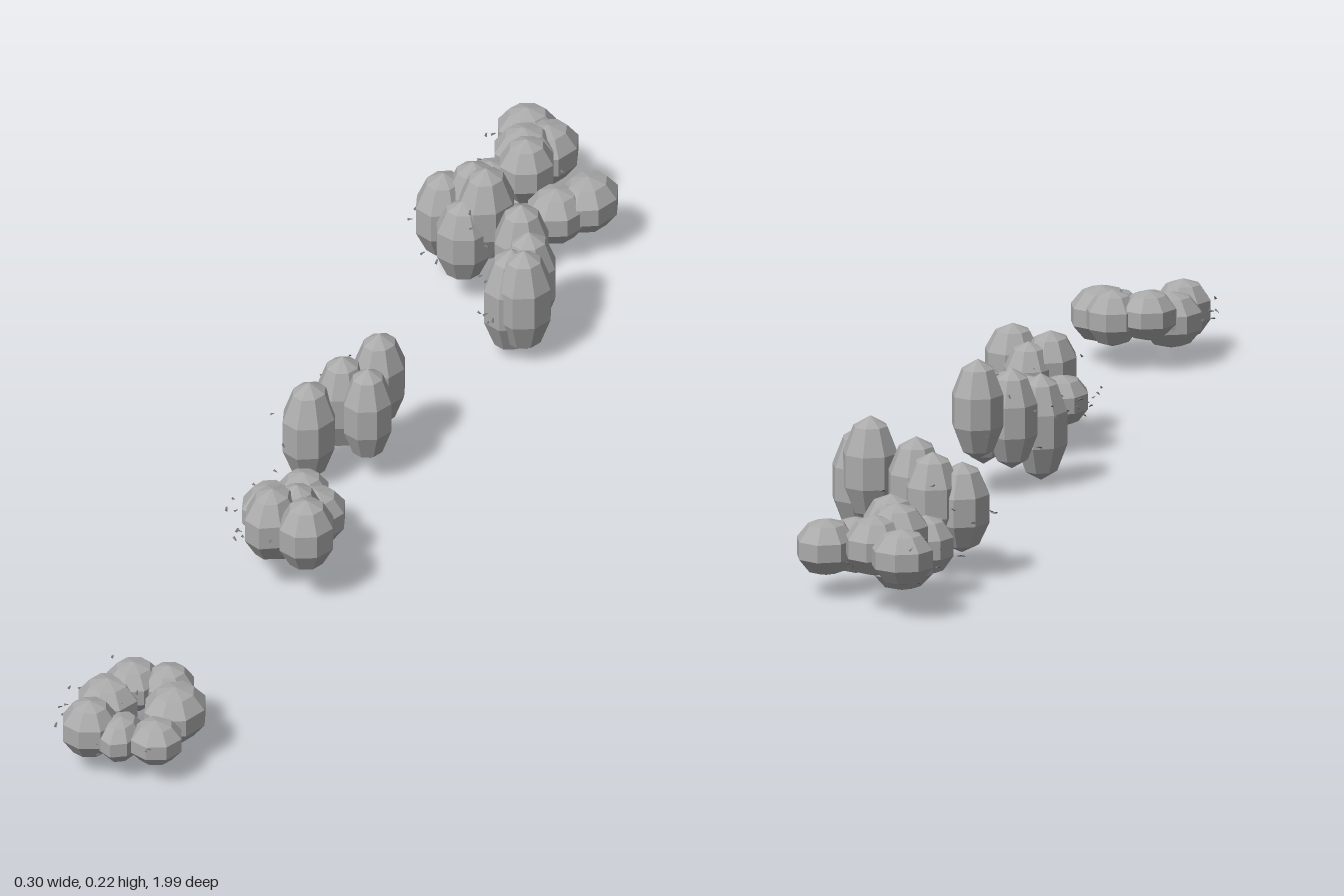
import * as THREE from 'three';

// Puffs of each cluster: [x, y, z, radiusX, radiusY, radiusZ]
const CLUSTERS = {
  flatFrontCluster: [
    [-0.035, 0.085, 0.825, 0.045, 0.04, 0.05], [0.02, 0.08, 0.815, 0.043, 0.045, 0.045],
    [0.05, 0.075, 0.865, 0.05, 0.045, 0.06], [-0.06, 0.07, 0.87, 0.05, 0.045, 0.055],
    [-0.06, 0.07, 0.948, 0.045, 0.048, 0.047], [-0.008, 0.062, 0.945, 0.033, 0.036, 0.05],
    [0.047, 0.063, 0.938, 0.043, 0.036, 0.045],
  ],
  secondCluster: [
    [0, 0.085, 0.193, 0.043, 0.042, 0.045], [-0.04, 0.08, 0.24, 0.042, 0.04, 0.055],
    [0.04, 0.08, 0.235, 0.045, 0.045, 0.055], [0, 0.11, 0.325, 0.043, 0.06, 0.058],
    [0.025, 0.1, 0.285, 0.04, 0.06, 0.045], [0.065, 0.114, 0.345, 0.045, 0.06, 0.05],
    [-0.01, 0.065, 0.28, 0.05, 0.04, 0.05],
  ],
  middleCluster: [
    [-0.062, 0.09, 0.01, 0.043, 0.085, 0.053], [0.012, 0.138, -0.1, 0.042, 0.08, 0.05],
    [0.02, 0.115, -0.03, 0.04, 0.08, 0.045], [-0.03, 0.115, -0.05, 0.042, 0.08, 0.048],
  ],
  tallCluster: [
    [0.076, 0.138, -0.54, 0.045, 0.084, 0.05], [0.085, 0.09, -0.475, 0.045, 0.09, 0.055],
    [0.11, 0.1, -0.465, 0.045, 0.088, 0.05], [0.1, 0.11, -0.51, 0.045, 0.085, 0.05],
  ],
  sideCluster: [
    [-0.097, 0.11, -0.65, 0.045, 0.072, 0.055], [-0.055, 0.125, -0.67, 0.045, 0.075, 0.05],
    [-0.02, 0.135, -0.635, 0.045, 0.08, 0.055], [-0.045, 0.1, -0.6, 0.045, 0.07, 0.043],
  ],
  backCluster: [
    [-0.075, 0.095, -0.95, 0.05, 0.045, 0.05], [-0.02, 0.1, -0.9, 0.048, 0.048, 0.06],
    [-0.045, 0.11, -0.86, 0.05, 0.05, 0.055], [-0.075, 0.08, -0.795, 0.045, 0.048, 0.048],
    [-0.025, 0.11, -0.82, 0.045, 0.055, 0.05], [0.078, 0.075, -0.82, 0.048, 0.045, 0.06],
    [0.042, 0.07, -0.775, 0.048, 0.045, 0.053], [-0.045, 0.055, -0.83, 0.05, 0.04, 0.05],
  ],
};

// Small seeded generator for the loose flecks
function seeded(seed) {
  return () => {
    seed = (seed * 16807) % 2147483647;
    return seed / 2147483647;
  };
}

export function createModel() {
  const model = new THREE.Group();
  const puffGrey = new THREE.MeshStandardMaterial({ color: 0xaaaaaa, flatShading: true });
  puffGrey.name = 'puffGrey';
  const fleckGrey = new THREE.MeshStandardMaterial({ color: 0x777777, flatShading: true });
  fleckGrey.name = 'fleckGrey';

  // Faceted ball with pointed poles and an upright middle band
  const puffGeometry = new THREE.SphereGeometry(1.03, 8, 5);
  puffGeometry.scale(1, 1 / 1.03, 1);
  const fleckGeometry = new THREE.TetrahedronGeometry(1);
  const random = seeded(4711);

  for (const [name, puffs] of Object.entries(CLUSTERS)) {
    const cluster = new THREE.Group();
    cluster.name = name;
    for (const [x, y, z, rx, ry, rz] of puffs) {
      const puff = new THREE.Mesh(puffGeometry, puffGrey);
      puff.name = 'puff';
      puff.position.set(x, y, z);
      puff.scale.set(rx, ry, rz);
      cluster.add(puff);

      // Thin flecks drifting just off the surface, mostly to one side
      for (let i = 0; i < 4; i++) {
        const angle = Math.PI + (random() - 0.5) * 3.6;
        const reach = 1.1 + random() * 0.4;
        const fleck = new THREE.Mesh(fleckGeometry, fleckGrey);
        fleck.name = 'fleck';
        fleck.position.set(
          Math.max(-0.145, x + Math.cos(angle) * rx * reach),
          y + (random() - 0.5) * ry,
          THREE.MathUtils.clamp(z + Math.sin(angle) * rz * reach, -0.985, 0.98),
        );
        fleck.rotation.set(random() * 0.6, random() * 6.28, random() * 0.6);
        fleck.scale.set(0.007, 0.002, 0.003);
        cluster.add(fleck);
      }
    }
    model.add(cluster);
  }
  return model;
}
